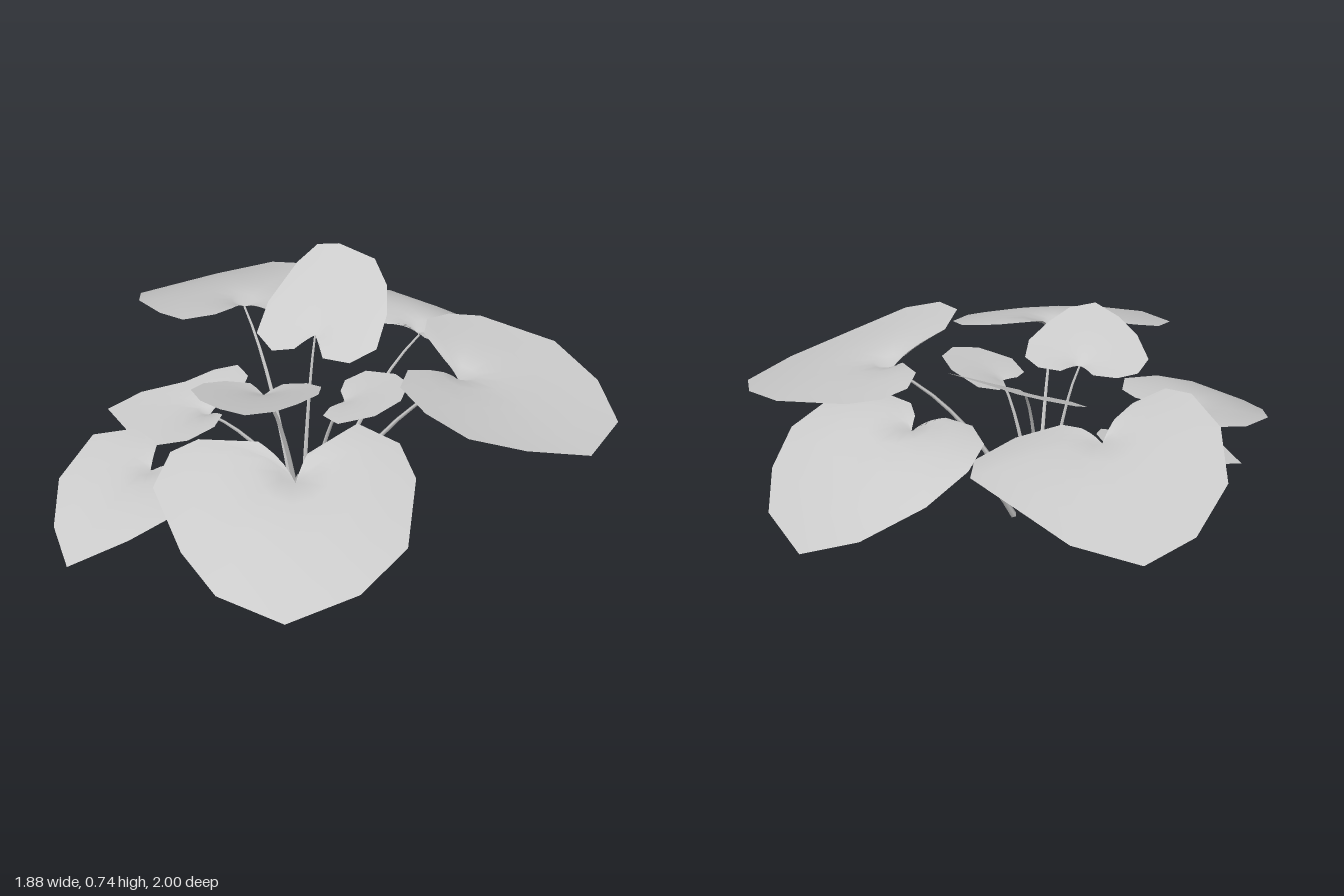
import * as THREE from 'three';

const material = new THREE.MeshStandardMaterial({ color: 0xcccccc, side: THREE.DoubleSide });

// Heart-shaped blade: rings growing from the notch to the outline (x, z pairs).
// slope = [rise per x, rise per z], droop = [fall with x squared, fall with z squared],
// cup = depth of the funnel at the notch.
function leafBlade([cx, cy, cz], slope, droop, cup, outline) {
  const rings = [0.12, 0.3, 0.55, 0.8, 1];
  const n = outline.length / 2;
  const positions = [cx, cy, cz];
  const indices = [];
  rings.forEach((t, k) => {
    for (let i = 0; i < n; i++) {
      const dx = (outline[2 * i] - cx) * t;
      const dz = (outline[2 * i + 1] - cz) * t;
      const y = cy + slope[0] * dx + slope[1] * dz - droop[0] * dx * dx - droop[1] * dz * dz
        + cup * (1 - Math.exp(-Math.hypot(dx, dz) / 0.06));
      positions.push(cx + dx, y, cz + dz);
      if (i === n - 1) continue;
      const b = 1 + k * n + i;
      if (k === 0) indices.push(0, b, b + 1);
      else indices.push(b - n, b, b + 1, b - n, b + 1, b - n + 1);
    }
  });
  const geometry = new THREE.BufferGeometry();
  geometry.setAttribute('position', new THREE.Float32BufferAttribute(positions, 3));
  geometry.setIndex(indices);
  geometry.computeVertexNormals();
  return geometry;
}

// Arched stalk, thick at the ground and thin at the leaf
function leafStem([bx, bz], [cx, cy, cz]) {
  const base = new THREE.Vector3(bx, 0.01, bz);
  const top = new THREE.Vector3(cx, cy, cz);
  const bend = base.clone().lerp(top, 0.45).setY(cy * 0.78);
  const curve = new THREE.QuadraticBezierCurve3(base, bend, top);
  const segments = 8, sides = 4;
  const geometry = new THREE.TubeGeometry(curve, segments, 0.012, sides);
  const p = geometry.attributes.position;
  const v = new THREE.Vector3();
  for (let i = 0; i < p.count; i++) {
    const t = Math.floor(i / (sides + 1)) / segments;
    const centre = curve.getPointAt(t);
    v.fromBufferAttribute(p, i).sub(centre).multiplyScalar(1 - 0.6 * t).add(centre);
    p.setXYZ(i, v.x, v.y, v.z);
  }
  return geometry;
}

export function createModel() {
  const plant = new THREE.Group();
  plant.name = 'leafyPlant';

  function addLeaf(name, base, notch, slope, droop, cup, outline) {
    const leaf = new THREE.Group();
    leaf.name = name;
    const blade = new THREE.Mesh(leafBlade(notch, slope, droop, cup, outline), material);
    blade.name = 'blade';
    const stem = new THREE.Mesh(leafStem(base, notch), material);
    stem.name = 'stem';
    leaf.add(blade, stem);
    plant.add(leaf);
  }

  // Four large outer leaves
  addLeaf('backLeaf', [0.06, -0.07], [0.07, 0.48, -0.5], [0, 0.085], [0.2, 1.03], 0.06, [
    0.1, -0.46, 0.16, -0.43, 0.3, -0.45, 0.42, -0.56, 0.43, -0.73, 0.36, -0.86, 0.24, -0.96, 0.01, -1,
    -0.18, -0.9, -0.3, -0.73, -0.3, -0.56, -0.22, -0.43, -0.1, -0.38, 0, -0.41, 0.02, -0.47]);
  addLeaf('backLeftLeaf', [0.13, 0.01], [0.43, 0.52, -0.31], [-0.18, 0.17], [0.2, -0.15], 0.06, [
    0.41, -0.2, 0.39, -0.1, 0.47, 0.02, 0.61, 0.05, 0.75, 0, 0.85, -0.17, 0.94, -0.39, 0.87, -0.62,
    0.7, -0.72, 0.48, -0.75, 0.23, -0.64, 0.16, -0.55, 0.15, -0.45, 0.22, -0.36, 0.36, -0.31]);
  addLeaf('backRightLeaf', [-0.05, 0.01], [-0.46, 0.52, -0.14], [0, 0.13], [0.62, 0], 0.04, [
    -0.37, -0.15, -0.3, -0.17, -0.22, -0.3, -0.22, -0.47, -0.32, -0.57, -0.6, -0.59, -0.77, -0.56, -0.93, -0.41,
    -0.94, -0.2, -0.86, 0.02, -0.69, 0.16, -0.51, 0.21, -0.42, 0.18, -0.4, 0.05, -0.42, -0.05]);
  addLeaf('frontLeftLeaf', [0.07, 0.05], [0.43, 0.45, 0.44], [-0.2, -0.16], [0.3, 0.24], 0.08, [
    0.28, 0.46, 0.13, 0.58, 0.1, 0.67, 0.17, 0.8, 0.42, 0.9, 0.6, 0.92, 0.8, 0.83, 0.88, 0.6,
    0.86, 0.38, 0.7, 0.18, 0.57, 0.12, 0.43, 0.17, 0.41, 0.37]);

  // Medium front leaves
  addLeaf('frontLeaf', [0.02, 0.06], [-0.14, 0.28, 0.57], [0, -0.12], [0, 0.6], 0.04, [
    -0.21, 0.48, -0.33, 0.48, -0.41, 0.6, -0.34, 0.8, -0.2, 0.93, -0.04, 1,
    0.08, 0.84, 0.13, 0.7, 0.15, 0.55, 0.08, 0.47, 0, 0.46, -0.06, 0.49]);
  addLeaf('frontRightLeaf', [0.02, 0.04], [-0.23, 0.32, 0.23], [0.14, -0.2], [0, 0], 0.05, [
    -0.2, 0.1, -0.23, 0.05, -0.32, 0.02, -0.38, 0.08, -0.42, 0.18, -0.52, 0.3,
    -0.55, 0.43, -0.35, 0.49, -0.2, 0.49, -0.12, 0.42, -0.1, 0.32, -0.14, 0.25]);

  // Inner leaves
  addLeaf('innerFrontLeaf', [0.02, 0.05], [0.04, 0.51, 0.22], [0.21, 0.17], [0, 0], 0.03, [
    -0.05, 0.2, -0.12, 0.25, -0.15, 0.32, -0.12, 0.4, 0, 0.46, 0.12, 0.48, 0.23, 0.47,
    0.27, 0.38, 0.26, 0.27, 0.23, 0.15, 0.17, 0.08, 0.1, 0.08, 0.04, 0.13]);
  addLeaf('innerSmallLeaf', [0.06, 0.02], [0.2, 0.465, 0], [0.21, -0.21], [0, 0], 0.02, [
    0.19, 0.06, 0.21, 0.11, 0.3, 0.13, 0.39, 0.05, 0.41, -0.05, 0.36, -0.14,
    0.27, -0.17, 0.15, -0.15, 0.12, -0.08, 0.15, -0.03]);
  addLeaf('innerRaisedLeaf', [0.02, 0.02], [-0.09, 0.55, -0.14], [-0.17, -0.5], [0.2, 0], 0.025, [
    -0.03, -0.11, 0.01, -0.08, 0.1, -0.12, 0.14, -0.21, 0.08, -0.32, 0, -0.4, -0.11, -0.45,
    -0.27, -0.43, -0.34, -0.39, -0.35, -0.3, -0.32, -0.13, -0.26, -0.02, -0.16, 0, -0.1, -0.05]);

  return plant;
}
